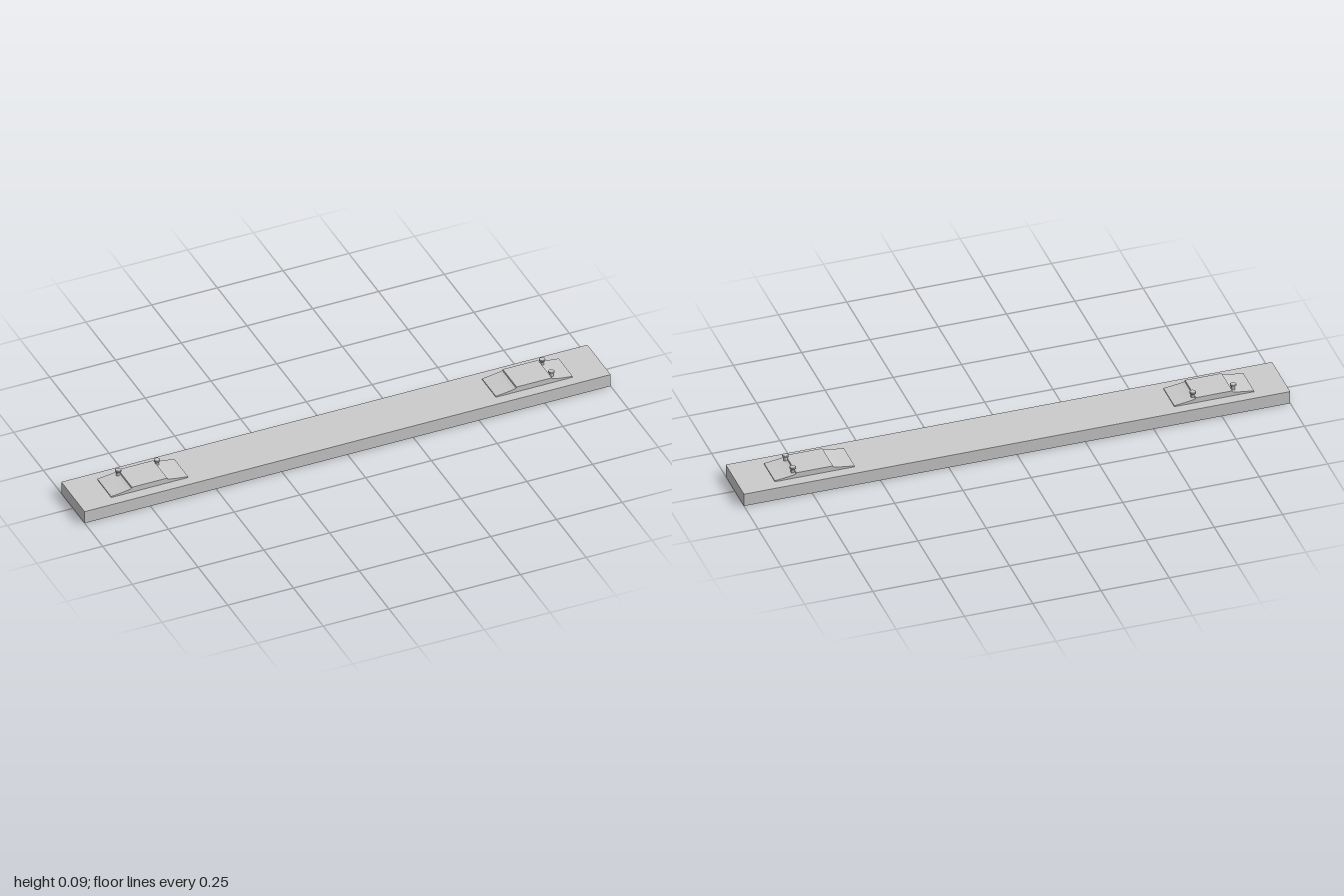
import * as THREE from 'three';

const material = new THREE.MeshStandardMaterial({ color: 0xcccccc, side: THREE.DoubleSide });
const flat = new THREE.MeshStandardMaterial({ color: 0xcccccc, side: THREE.DoubleSide, flatShading: true });

const BOARD_TOP = 0.049;
const HALF_DEPTH = 0.098;

function add(parent, name, geometry, mat, x = 0, y = 0, z = 0) {
  const mesh = new THREE.Mesh(geometry, mat);
  mesh.name = name;
  mesh.position.set(x, y, z);
  parent.add(mesh);
  return mesh;
}

// Thin-walled board: a box without its bottom face
function boardGeometry() {
  const geometry = new THREE.BoxGeometry(2, BOARD_TOP, HALF_DEPTH * 2);
  const index = Array.from(geometry.index.array);
  index.splice(18, 6); // the fourth face is the underside
  geometry.setIndex(index);
  geometry.clearGroups();
  return geometry;
}

// Clamp plate: a raised middle with a thin ramp flaring out at both ends
function plateGeometry() {
  const side = [[0.146, 0], [0.146, 0.004], [0.105, 0.009], [0.08, 0.013], [0.069, 0.016], [0.067, 0.0205]];
  const points = [
    ...side.map(([x, y]) => new THREE.Vector2(x, y)),
    ...side.slice().reverse().map(([x, y]) => new THREE.Vector2(-x, y)),
  ];
  const geometry = new THREE.ExtrudeGeometry(new THREE.Shape(points), { depth: 0.117, bevelEnabled: false });
  return geometry.translate(0, 0, -0.0585);
}

// Bolt: round stem under a wide head with a chamfered lower edge
function boltGeometry() {
  const profile = [[0, -0.003], [0.007, -0.003], [0.007, 0.026], [0.0095, 0.028],
    [0.0112, 0.03], [0.0112, 0.0345], [0.01, 0.036], [0, 0.036]];
  return new THREE.LatheGeometry(profile.map(([r, y]) => new THREE.Vector2(r, y)), 16);
}

export function createModel() {
  const model = new THREE.Group();
  model.name = 'boardWithClamps';
  add(model, 'board', boardGeometry(), material, 0, BOARD_TOP / 2, 0);

  const plate = plateGeometry();
  const bolt = boltGeometry();

  // The two clamps carry their bolts in different corners
  const clamps = [
    { name: 'rightClamp', x: -0.735, bolts: [[-0.076, -0.039], [0.072, -0.039]] },
    { name: 'leftClamp', x: 0.7275, bolts: [[0.074, -0.039], [0.074, 0.039]] },
  ];
  for (const { name, x, bolts } of clamps) {
    const clamp = new THREE.Group();
    clamp.name = name;
    clamp.position.set(x, BOARD_TOP, 0);
    add(clamp, 'clampPlate', plate, flat);
    for (const [bx, bz] of bolts) add(clamp, 'bolt', bolt, flat, bx, 0, bz);
    model.add(clamp);
  }
  return model;
}
